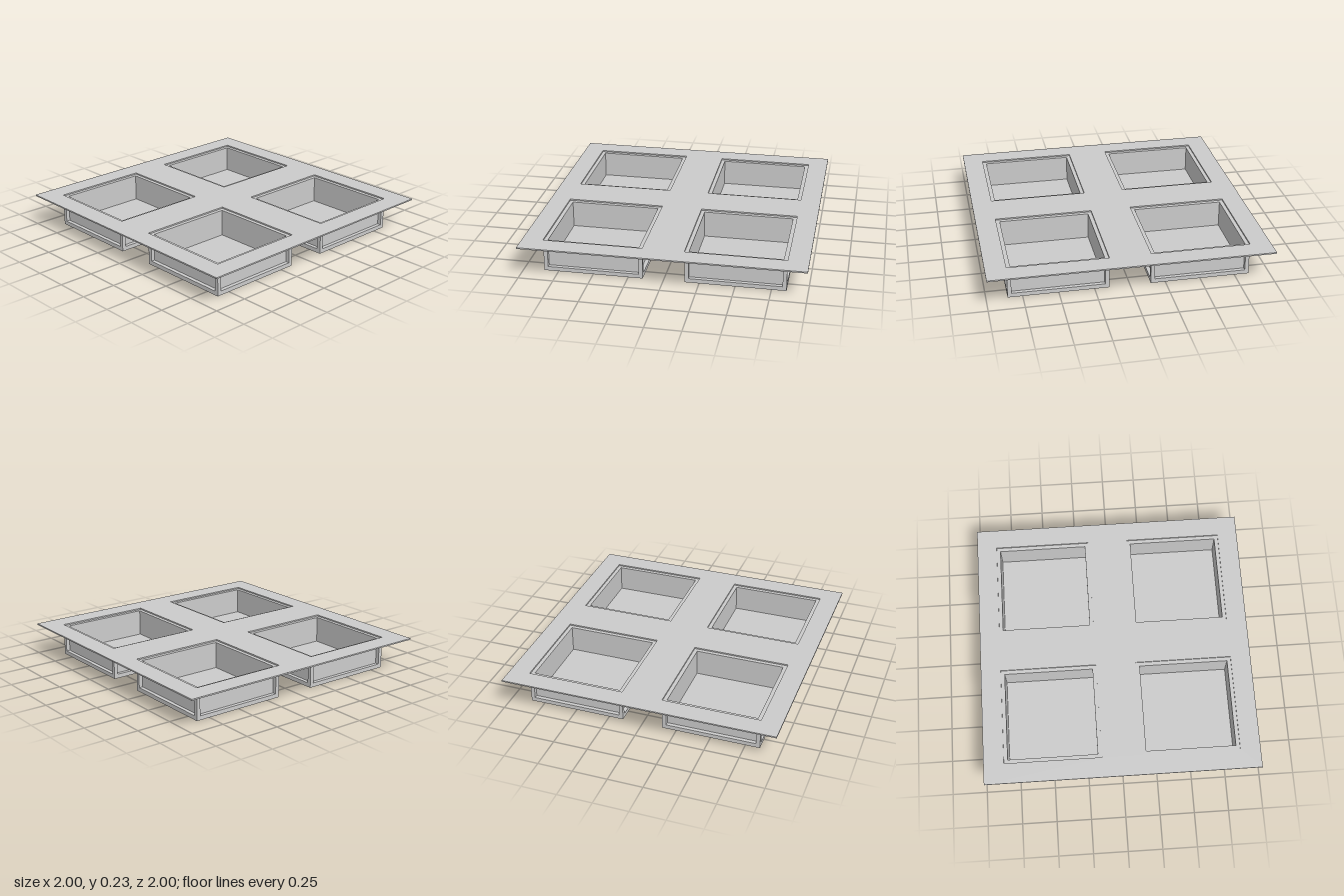
import * as THREE from 'three';

const OUTER = 0.706, INNER = 0.65, RAIL = (OUTER - INNER) / 2;
const TOP = 0.235, UNDER = 0.225, FLOOR = 0.03;

const solid = new THREE.MeshStandardMaterial({ color: 0xcccccc, flatShading: true });
const thin = new THREE.MeshStandardMaterial({ color: 0xcccccc, flatShading: true, side: THREE.DoubleSide });

function square(size, cx = 0, cy = 0, Type = THREE.Shape) {
  const h = size / 2;
  return new Type([[-h, -h], [h, -h], [h, h], [-h, h]].map(([x, y]) => new THREE.Vector2(cx + x, cy + y)));
}

function add(parent, name, geometry, material, x = 0, y = 0, z = 0) {
  const mesh = new THREE.Mesh(geometry, material);
  mesh.name = name;
  mesh.position.set(x, y, z);
  parent.add(mesh);
  return mesh;
}

// One recessed tray: thin liner held in a frame of posts and bottom rails
function createTray() {
  const tray = new THREE.Group();
  tray.name = 'tray';
  const wallHeight = UNDER - FLOOR;
  const offset = INNER / 2 + RAIL / 2;

  const floor = new THREE.PlaneGeometry(INNER, INNER).rotateX(-Math.PI / 2);
  add(tray, 'trayFloor', floor, thin, 0, FLOOR, 0);

  // Ledge just inside the plate opening
  const ring = square(OUTER);
  ring.holes.push(square(INNER, 0, 0, THREE.Path));
  add(tray, 'trayLedge', new THREE.ShapeGeometry(ring).rotateX(-Math.PI / 2), thin, 0, UNDER, 0);

  for (let i = 0; i < 4; i++) {
    const side = new THREE.Group();
    side.name = 'traySide';
    side.rotation.y = i * Math.PI / 2;
    add(side, 'trayWall', new THREE.PlaneGeometry(INNER, wallHeight), thin, 0, FLOOR + wallHeight / 2, INNER / 2);
    add(side, 'bottomRail', new THREE.BoxGeometry(INNER, FLOOR, RAIL), solid, 0, FLOOR / 2, offset);
    add(side, 'cornerPost', new THREE.BoxGeometry(RAIL, UNDER, RAIL), solid, offset, UNDER / 2, offset);
    tray.add(side);
  }
  return tray;
}

export function createModel() {
  const model = new THREE.Group();
  model.name = 'trayPanel';

  // Flat plate with four square openings, and a tray under each
  const outline = square(2);
  for (const x of [-0.5, 0.5]) {
    for (const z of [-0.5, 0.5]) {
      outline.holes.push(square(OUTER, x, z, THREE.Path));
      const tray = createTray();
      tray.position.set(x, 0, z);
      model.add(tray);
    }
  }
  const plate = new THREE.ExtrudeGeometry(outline, { depth: TOP - UNDER, bevelEnabled: false });
  add(model, 'topPlate', plate.rotateX(-Math.PI / 2), solid, 0, UNDER, 0);
  return model;
}
